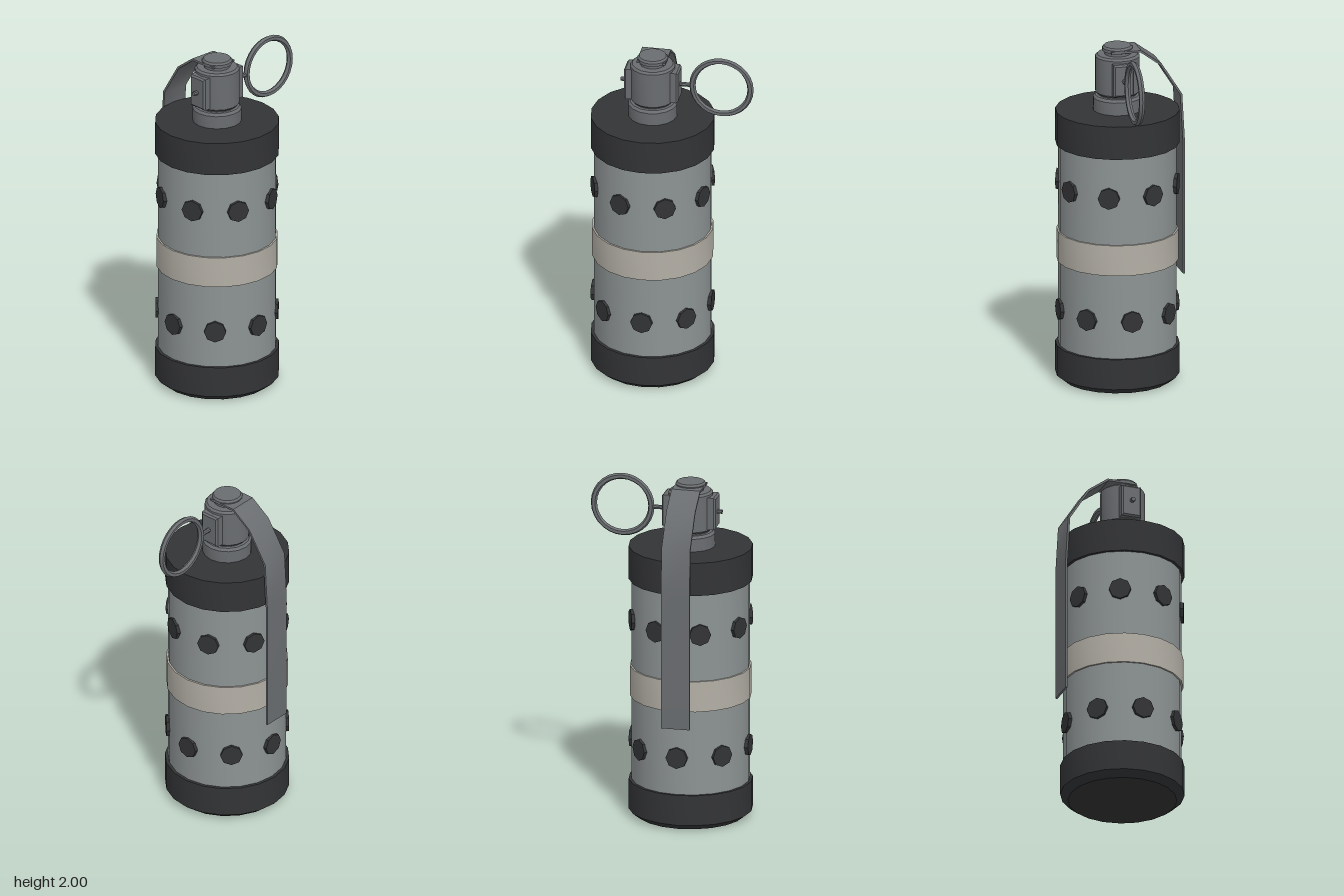
import * as THREE from 'three';
import { toCreasedNormals } from 'three/addons/utils/BufferGeometryUtils.js';

const material = (color) => new THREE.MeshStandardMaterial({ color });

export function createModel() {
  const model = new THREE.Group();
  const CX = -0.118, CZ = 0.011; // axis of the canister
  const black = material(0x333436), steel = material(0x8d9393);
  const tan = material(0xb3afa6), iron = material(0x6a6d70);

  const add = (name, geometry, mat, x = CX, y = 0, z = CZ) => {
    const mesh = new THREE.Mesh(toCreasedNormals(geometry, 0.6), mat);
    mesh.name = name;
    mesh.position.set(x, y, z);
    model.add(mesh);
    return mesh;
  };
  const lathe = (name, points, mat, sides) =>
    add(name, new THREE.LatheGeometry(points.map(([r, y]) => new THREE.Vector2(r, y)), sides), mat);

  // Canister, end caps and middle band
  lathe('canister', [[0.337, 0.15], [0.337, 1.45]], steel, 20);
  lathe('bottomCap', [[0, 0], [0.31, 0], [0.354, 0.035], [0.354, 0.213], [0.33, 0.213]], black, 20);
  lathe('topCap', [[0.33, 1.405], [0.354, 1.405], [0.354, 1.6], [0, 1.6]], black, 20);
  lathe('band', [[0.33, 0.71], [0.347, 0.71], [0.347, 0.89], [0.33, 0.89]], tan, 20);

  // Two staggered rows of octagonal vents
  [[0.432, 0], [1.168, Math.PI / 8]].forEach(([y, offset]) => {
    for (let i = 0; i < 8; i++) {
      const a = offset + i * Math.PI / 4;
      const g = new THREE.CylinderGeometry(0.063, 0.063, 0.05, 8);
      g.rotateX(Math.PI / 2).translate(0, 0, 0.324).rotateY(a);
      add('vent', g, black, CX, y, CZ);
    }
  });

  // Fuse neck, housing and striker cap
  lathe('fuseNeck', [[0.14, 1.59], [0.14, 1.675], [0.128, 1.69], [0.11, 1.69]], iron, 16);
  lathe('fuseHousing', [[0.11, 1.68], [0.11, 1.7], [0.12, 1.7], [0.128, 1.71], [0.128, 1.918],
    [0.116, 1.93], [0, 1.93]], iron, 16);
  lathe('strikerCap', [[0.075, 1.92], [0.075, 1.945], [0.087, 1.95], [0.087, 1.968],
    [0.078, 1.98], [0, 1.98]], iron, 16);

  // Bevelled plates on either side of the housing
  for (const side of [-1, 1]) {
    const shape = new THREE.Shape();
    shape.moveTo(-0.05, -0.085).lineTo(0.05, -0.085).lineTo(0.05, 0.085).lineTo(-0.05, 0.085).closePath();
    const g = new THREE.ExtrudeGeometry(shape, {
      depth: 0.045, bevelThickness: 0.01, bevelSize: 0.01, bevelSegments: 1
    });
    g.rotateY(side * Math.PI / 2);
    add('sidePlate', g, iron, CX + side * 0.102, 1.81, CZ);
  }

  // Pull pin and ring
  const pin = new THREE.CylinderGeometry(0.013, 0.013, 0.405, 8).rotateZ(Math.PI / 2);
  add('pullPin', pin, iron, -0.1, 1.81, CZ);
  add('pullRing', new THREE.TorusGeometry(0.168, 0.018, 6, 28), iron, 0.28, 1.812, CZ);

  // Safety lever: thin bent strip, outer edge then back along the inner edge
  const outer = [[0.066, 1.962], [-0.108, 1.962], [-0.228, 1.874], [-0.348, 1.685], [-0.364, 1.4], [-0.364, 0.614]];
  const inner = [[-0.352, 0.614], [-0.352, 1.4], [-0.336, 1.68], [-0.219, 1.866], [-0.104, 1.95], [0.066, 1.95]];
  const strip = new THREE.Shape([...outer, ...inner].map(([z, y]) => new THREE.Vector2(-z, y)));
  const lever = new THREE.ExtrudeGeometry(strip, { depth: 0.167, bevelEnabled: false });
  lever.translate(0, 0, -0.0835).rotateY(Math.PI / 2);
  add('safetyLever', lever, iron, CX, 0, 0);

  return model;
}
